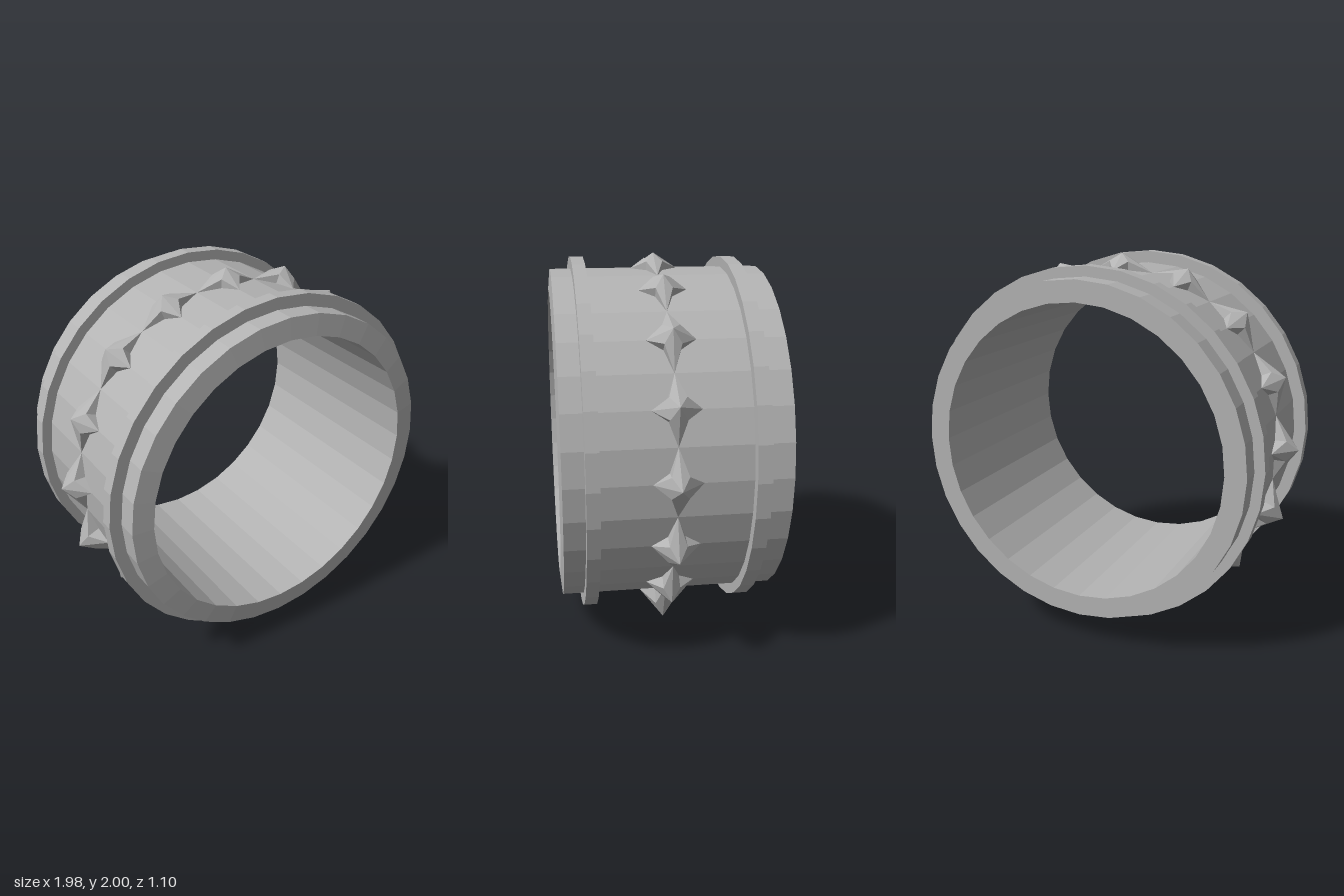
import * as THREE from 'three';

const SIDES = 32, CENTRE_Y = 1.04, BODY_R = 0.88;

// Ring with a closed [radius, z] profile, turned about the z axis, with flat facets
function ring(name, profile, material) {
  const points = [...profile, profile[0]].map(([r, z]) => new THREE.Vector2(r, z));
  const geometry = new THREE.LatheGeometry(points, SIDES).rotateX(Math.PI / 2).toNonIndexed();
  geometry.computeVertexNormals();
  const mesh = new THREE.Mesh(geometry, material);
  mesh.name = name;
  return mesh;
}

const band = (r, z0, z1) => [[0.86, z0], [r, z0], [r, z1], [0.86, z1]];

// Four-pointed stud: star outline with raised inner corners, a tip and short walls.
// Local axes: x = outward, y = around the ring, z = along its axis.
function studGeometry(tip, width, backReach) {
  const reach = 2 * Math.PI / SIDES;
  const t = BODY_R * Math.sin(reach), tr = BODY_R * Math.cos(reach);
  const mid = BODY_R + (tip - BODY_R) * 0.5, d = 0.042;
  const rim = [
    [tr, t, 0], [mid, width, d], [BODY_R, 0, 0.12], [mid, -width, d],
    [tr, -t, 0], [mid, -width, -d], [BODY_R, 0, -backReach], [mid, width, -d],
  ];
  const out = [];
  rim.forEach((a, i) => {
    const b = rim[(i + 1) % rim.length];
    const a0 = [0.85, a[1], a[2]], b0 = [0.85, b[1], b[2]];
    out.push([tip, 0, 0], a, b, a, a0, b0, a, b0, b);
  });
  const geometry = new THREE.BufferGeometry();
  geometry.setAttribute('position', new THREE.Float32BufferAttribute(out.flat(), 3));
  geometry.computeVertexNormals();
  return geometry;
}

export function createModel() {
  const model = new THREE.Group();
  model.name = 'studdedRing';
  const grey = new THREE.MeshStandardMaterial({ color: 0xb3b3b3 });
  grey.name = 'grey';

  const body = new THREE.Group();
  body.name = 'ringAssembly';
  body.position.y = CENTRE_Y;
  model.add(body);

  // Hollow body and its two raised bands
  body.add(ring('body', [[0.77, -0.553], [BODY_R, -0.553], [BODY_R, 0.537], [0.77, 0.548]], grey));
  body.add(ring('frontBand', band(0.943, 0.366, 0.432), grey));
  body.add(ring('backBand', band(0.933, -0.432, -0.36), grey));

  // Studs, growing taller from the top to the bottom
  const tips = [0.96, 0.967, 0.976, 0.978, 0.99, 1.006, 0.997, 1.033, 1.04];
  for (let i = 0; i < 16; i++) {
    const step = Math.min(i, 16 - i);
    const bottom = step === 8;
    const stud = new THREE.Mesh(studGeometry(tips[step], bottom ? 0.035 : 0.053, bottom ? 0.36 : 0.12), grey);
    stud.name = 'stud' + (i + 1);
    stud.rotation.z = Math.PI / 2 - i * Math.PI / 8;
    body.add(stud);
  }
  return model;
}
